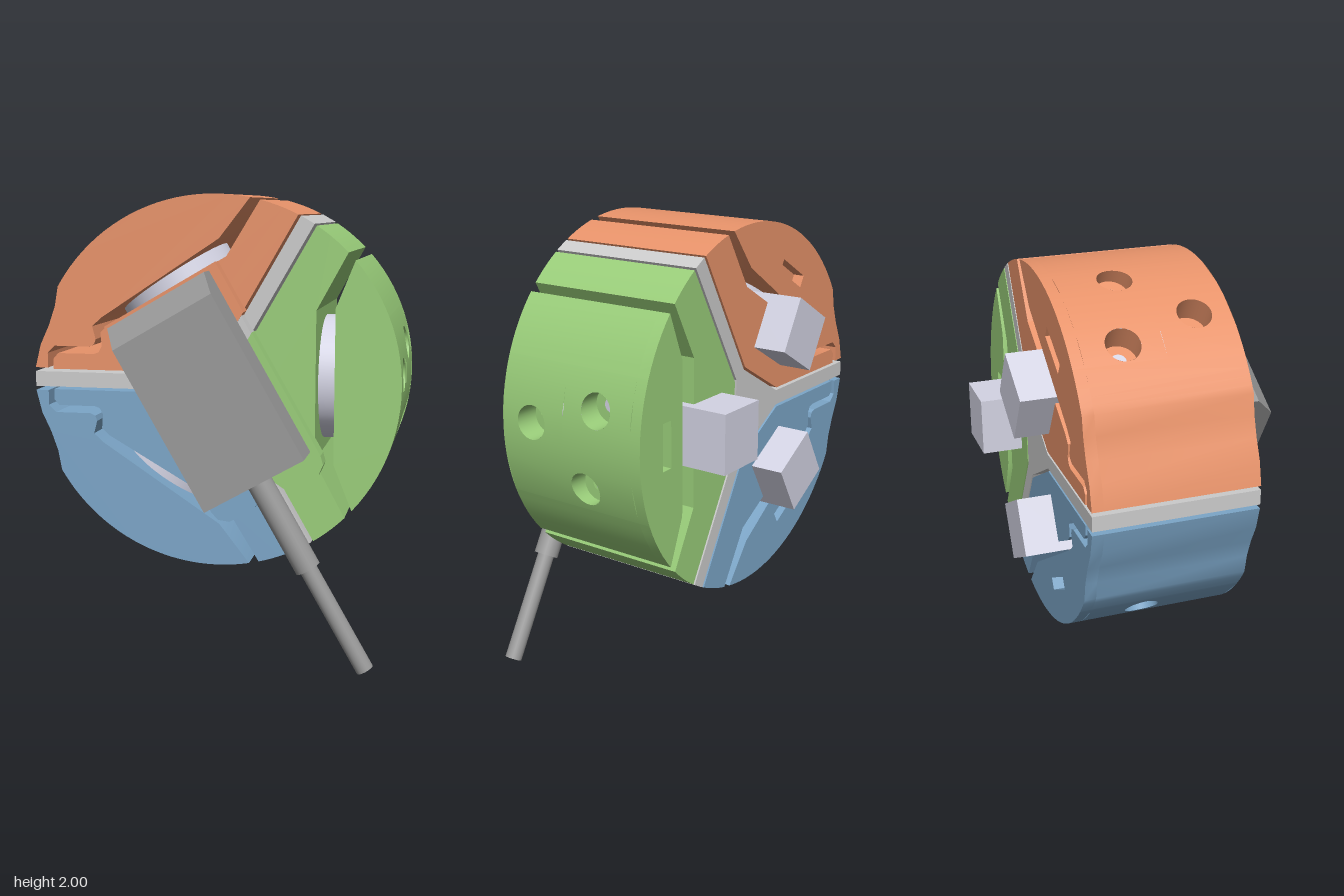
import * as THREE from 'three';
import { toCreasedNormals } from 'three/addons/utils/BufferGeometryUtils.js';

const R = 0.8, FRONT = 0.32, BACK = -0.39, DEG = Math.PI / 180;
const JOIN = Math.asin(0.3 / R) / DEG; // angle where the drilled skin starts
const mat = (color) => new THREE.MeshStandardMaterial({ color, side: THREE.DoubleSide });
const GREY = mat(0xcccccc), DARK = mat(0x999999), PALE = mat(0xd4d4e4);
const ORANGE = mat(0xe8936a), GREEN = mat(0x9ace7a), BLUE = mat(0x7ca6c8);

function add(parent, name, geometry, material) {
  const mesh = new THREE.Mesh(geometry, material);
  mesh.name = name;
  parent.add(mesh);
  return mesh;
}

const toShape = (pts) => new THREE.Shape(pts.map(([x, y]) => new THREE.Vector2(x, y)));

function slab(shape, z0, z1) {
  const g = new THREE.ExtrudeGeometry(shape, { depth: z1 - z0, bevelEnabled: false });
  return g.translate(0, 0, z0);
}

// Points on the outer circle, angles in degrees
function arc(a, b, n) {
  return Array.from({ length: n + 1 }, (_, i) => {
    const t = (a + (b - a) * i / n) * DEG;
    return [R * Math.cos(t), R * Math.sin(t)];
  });
}

// Turns points beside the left arm into the frame of a sector that faces +x
const toSector = (pts) => pts.map(([x, y]) => [-0.5 * x + 0.866 * y, -0.866 * x - 0.5 * y]);
const mirrored = (pts) => pts.map(([x, y]) => [x, -y]).reverse();

// Half outlines of the inner body, from the slot to the blunt tip
const TIP = [0.14, 0.152];
const innerPlain = [[0.44, 0.32], ...arc(44.5, 56.8, 5), TIP];
const innerStepped = [...toSector([[-0.468, 0.241], [-0.5, 0.21], [-0.495, 0.15], [-0.51, 0.122],
  [-0.532, 0.115], [-0.695, 0.115], [-0.717, 0.09], [-0.717, 0.045]]), TIP];

// Half outlines of the outer jaw, from the slot to the drilled skin
const jawPlain = [[0.52, 0.33], ...arc(41.4, JOIN, 6)];
const jawStepped = [...toSector([[-0.495, 0.274], [-0.537, 0.236], [-0.522, 0.18], [-0.53, 0.157],
  [-0.553, 0.147], [-0.71, 0.147], [-0.743, 0.115], [-0.743, 0.05], [-0.8, 0.05],
  [-0.775, 0.15], [-0.735, 0.235], [-0.705, 0.32]]), ...arc(29.6, JOIN, 3)];

// Drops the outer wall where the drilled skin replaces it
function openWall(geometry) {
  const p = geometry.toNonIndexed().attributes.position, kept = [];
  for (let i = 0; i < p.count; i += 3) {
    const k = [i, i + 1, i + 2];
    const onSkin = k.every((j) => Math.hypot(p.getX(j), p.getY(j)) > 0.799 && Math.abs(p.getY(j)) < 0.3005)
      && !(p.getZ(i) === p.getZ(i + 1) && p.getZ(i) === p.getZ(i + 2));
    if (!onSkin) k.forEach((j) => kept.push(p.getX(j), p.getY(j), p.getZ(j)));
  }
  const g = new THREE.BufferGeometry();
  g.setAttribute('position', new THREE.Float32BufferAttribute(kept, 3));
  return toCreasedNormals(g, 0.4);
}

// Curved panel of the jaw between heights t0..t1 and depths z0..z1, with an optional hole
const BORE = 0.073;
function skinPanel([t0, t1, z0, z1, hole]) {
  const shape = toShape([[t0, z0], [t1, z0], [t1, z1], [t0, z1]]);
  if (hole) shape.holes.push(new THREE.Path().absarc(hole[0], hole[1], BORE, 0, Math.PI * 2, true));
  const g = new THREE.ShapeGeometry(shape, 32), p = g.attributes.position, n = g.attributes.normal;
  for (let i = 0; i < p.count; i++) {
    const t = p.getX(i), z = p.getY(i), x = Math.sqrt(R * R - t * t);
    p.setXYZ(i, x, t, z);
    n.setXYZ(i, x / R, t / R, 0);
  }
  return g;
}

// Counterbored bolt hole
function addBore(parent, [t, z], material) {
  const floor = 0.69;
  const wall = new THREE.CylinderGeometry(BORE, BORE, 1, 32, 1, true).rotateZ(-Math.PI / 2).translate(0, t, z);
  const p = wall.attributes.position;
  for (let i = 0; i < p.count; i++) {
    p.setX(i, p.getX(i) > 0 ? Math.sqrt(R * R - p.getY(i) ** 2) : floor);
  }
  add(parent, 'boreWall', wall, material);
  add(parent, 'boreFloor', new THREE.RingGeometry(0.03, BORE, 32).rotateY(Math.PI / 2).translate(floor, t, z), material);
  add(parent, 'bolt', new THREE.CylinderGeometry(0.031, 0.031, 0.1, 6).rotateZ(Math.PI / 2).translate(floor - 0.06, t, z), PALE);
}

function createSector(name, angle, material, upperStepped, lowerStepped, cubeBack) {
  const g = new THREE.Group();
  g.name = name;
  g.rotation.z = angle * DEG;

  // Inner body against the spacer
  const inner = [...(upperStepped ? innerStepped : innerPlain), ...mirrored(lowerStepped ? innerStepped : innerPlain)];
  add(g, 'innerBody', toCreasedNormals(slab(toShape(inner), BACK, FRONT), 0.4), material);

  // Outer jaw in two layers, the back one with a rectangular pocket
  const jaw = [...(upperStepped ? jawStepped : jawPlain), ...arc(JOIN, -JOIN, 14).slice(1, -1),
    ...mirrored(lowerStepped ? jawStepped : jawPlain)];
  const pocketed = toShape(jaw);
  pocketed.holes.push(toShape([[0.595, -0.1], [0.595, 0.1], [0.65, 0.1], [0.65, -0.1]]));
  add(g, 'jaw', openWall(slab(toShape(jaw), BACK + 0.05, FRONT)), material);
  add(g, 'jawBackLayer', openWall(slab(pocketed, BACK, BACK + 0.05)), material);

  // Drilled outer skin
  const holes = [[-0.2, -0.095], [0.04, 0.165], [0.145, -0.165]];
  const panels = [
    [-0.3, -0.28, BACK, FRONT], [-0.28, -0.12, BACK, FRONT, holes[0]], [-0.12, -0.04, BACK, FRONT],
    [-0.04, 0.12, 0, FRONT, holes[1]], [0.12, 0.225, 0, FRONT],
    [-0.04, 0.065, BACK, 0], [0.065, 0.225, BACK, 0, holes[2]], [0.225, 0.3, BACK, FRONT],
  ];
  panels.forEach((panel) => add(g, 'jawSkin', skinPanel(panel), material));
  holes.forEach((hole) => addBore(g, hole, material));

  // Disc sensor in the slot and its connector block at the back
  add(g, 'disc', new THREE.CylinderGeometry(0.275, 0.275, 0.08, 48).rotateZ(Math.PI / 2).translate(0.48, 0, -0.035), PALE);
  const length = -0.28 - cubeBack;
  add(g, 'connectorBlock', new THREE.BoxGeometry(0.245, 0.255, length).translate(0.36, 0, cubeBack + length / 2), PALE);
  return g;
}

// Three-armed spacer between the sectors
function spacerShape() {
  const pts = [];
  for (const a of [60, 180, 300]) {
    const c = Math.cos(a * DEG), s = Math.sin(a * DEG);
    for (const [d, w] of [[0.199, -0.033], [0.8, -0.033], [0.8, 0.033], [0.199, 0.033]]) {
      pts.push([d * c - w * s, d * s + w * c]);
    }
  }
  return toShape(pts);
}

// Sensor housing, its mounting pads and the cable, laid out along +x
function createSensor() {
  const g = new THREE.Group();
  g.name = 'sensor';
  g.rotation.z = -60 * DEG;
  const top = 0.385;
  const lower = [[0.03, 0.04], [-0.11, 0.27], [0.48, 0.27], [0.52, 0.26], [0.55, 0.22], [0.55, 0.1], [0.53, 0.06], [0.49, 0.04]];
  const pads = [
    ['upperPad', [[-0.44, -0.28], [-0.05, -0.28], [-0.05, 0.28], [-0.44, 0.28]], ORANGE],
    ['leftPad', lower, GREEN],
    ['rightPad', mirrored(lower), BLUE],
  ];
  pads[0][1] = [[-0.44, -0.28], [-0.2, -0.28], [-0.05, 0], [-0.2, 0.28], [-0.44, 0.28]];
  pads.forEach(([name, pts, m]) => add(g, name, slab(toShape(pts), FRONT - 0.02, top), m));
  add(g, 'spacerPad', slab(toShape([[-0.22, -0.265], [0.48, -0.265], [0.48, 0.265], [-0.22, 0.265]]), FRONT - 0.02, top - 0.004), GREY);

  // Housing with a chamfered upper end
  const profile = toShape([[-0.42, top], [0.445, top], [0.445, 0.565], [-0.325, 0.565], [-0.42, 0.48]]);
  add(g, 'housing', slab(profile, -0.24, 0.24).rotateX(Math.PI / 2), DARK);

  // Cable sleeve and cable
  const rod = (name, r, u0, u1) => add(g, name,
    new THREE.CylinderGeometry(r, r, u1 - u0, 24).rotateZ(Math.PI / 2).translate((u0 + u1) / 2, 0, 0.445), DARK);
  rod('cableSleeve', 0.055, 0.43, 0.87);
  rod('cable', 0.038, 0.86, 1.364);
  return g;
}

export function createModel() {
  const model = new THREE.Group();
  model.name = 'threeJawSensorHub';
  const hub = new THREE.Group();
  hub.name = 'hub';
  hub.position.y = 1.2;
  model.add(hub);
  add(hub, 'spacer', slab(spacerShape(), BACK, FRONT), GREY);
  hub.add(
    createSector('leftSector', 0, GREEN, false, false, -0.57),
    createSector('upperSector', 120, ORANGE, true, false, -0.54),
    createSector('lowerSector', 240, BLUE, false, true, -0.54),
    createSensor(),
  );
  return model;
}
